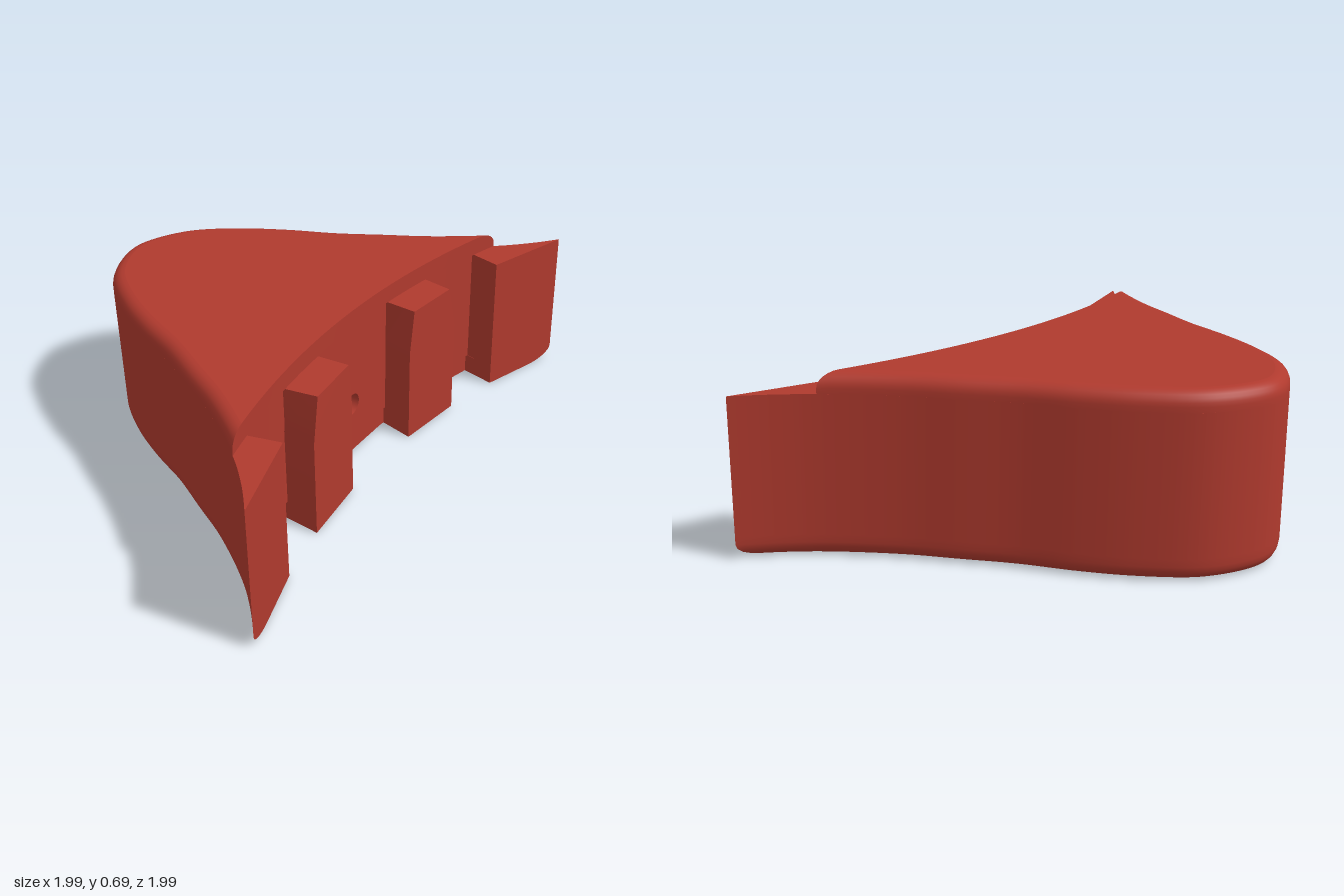
import * as THREE from 'three';
import { toCreasedNormals } from 'three/addons/utils/BufferGeometryUtils.js';

const TOP = 0.685, LEDGE = 0.61, STEP = 0.085, POCKET = 0.5, FILLET = 0.055;

// Plan coordinates: s runs from the hollow front to the round corner, t runs sideways.
const plan = (s, t) => new THREE.Vector2((-s + t) * Math.SQRT1_2, (-s - t) * Math.SQRT1_2);
const frontArc = (t) => 0.12 - 0.15 * t * t;
const tipFace = (t) => (t > 0.792 ? -0.113 - 0.32 * (t - 0.792) : frontArc(t));

// Outer curve from the round corner to one tip, mirrored for the other side
const half = [[1.235, 0.125], [1.145, 0.269], [0.969, 0.403], [0.785, 0.502], [0.587, 0.587],
  [0.403, 0.686], [0.219, 0.785], [-0.014, 0.947], [-0.14, 1.062], [-0.233, 1.167], [-0.289, 1.239]];
const outerCurve = new THREE.CatmullRomCurve3([
  ...half.map(([s, t]) => new THREE.Vector3(s, -t, 0)).reverse(),
  new THREE.Vector3(1.265, 0, 0),
  ...half.map(([s, t]) => new THREE.Vector3(s, t, 0))]);

// Outer curve inset by d, ended where it meets the front line
function outerPoints(d, front, n = 48) {
  const at = (u) => {
    const p = outerCurve.getPoint(u), q = outerCurve.getTangent(u);
    return [p.x - q.y * d, p.y + q.x * d];
  };
  let lo = 0.5, hi = 1;
  for (let i = 0; i < 40; i++) {
    const mid = (lo + hi) / 2, [s, t] = at(mid);
    if (s > front(t)) lo = mid; else hi = mid;
  }
  const right = [];
  for (let i = 0; i <= n; i++) right.push(at(0.5 + (lo - 0.5) * i / n));
  return [...right.slice(1).reverse().map(([s, t]) => [s, -t]), ...right];
}

// Walls through a stack of { y, ring } layers
function loft(layers, skip = () => false) {
  const pos = [], idx = [], n = layers[0].ring.length;
  for (const { y, ring } of layers) {
    for (const [s, t] of ring) {
      const p = plan(s, t);
      pos.push(p.x, y, p.y);
    }
  }
  for (let l = 0; l < layers.length - 1; l++) {
    for (let i = 0; i < n; i++) {
      if (skip(l, i)) continue;
      const a = l * n + i, b = l * n + (i + 1) % n;
      idx.push(a, b, a + n, b, b + n, a + n);
    }
  }
  const g = new THREE.BufferGeometry();
  g.setAttribute('position', new THREE.Float32BufferAttribute(pos, 3));
  g.setIndex(idx);
  return toCreasedNormals(g, 0.5);
}

// Flat face at height y, facing up or down, with optional holes
function plate(ring, y, up, holes = []) {
  const flat = (r) => r.map(([s, t]) => {
    const p = plan(s, t);
    return up ? new THREE.Vector2(p.x, -p.y) : p;
  });
  const shape = new THREE.Shape(flat(ring));
  shape.holes = holes.map((h) => new THREE.Path(flat(h)));
  return new THREE.ShapeGeometry(shape).rotateX(up ? -Math.PI / 2 : Math.PI / 2).translate(0, y, 0);
}

const mirror = (ring) => ring.map(([s, t]) => [s, -t]).reverse();
const circle = (s, r, n = 28) => Array.from({ length: n }, (_, i) => {
  const a = i / n * Math.PI * 2;
  return [s + r * Math.cos(a), r * Math.sin(a)];
});
// Curved slot just behind the front wall
function slot(t0, t1) {
  const ts = [0, 0.25, 0.5, 0.75, 1].map((k) => t0 + (t1 - t0) * k);
  return [...ts.map((t) => [frontArc(t) + 0.05, t]),
    ...ts.reverse().map((t) => [frontArc(t) + 0.13, t])];
}

export function createModel() {
  const model = new THREE.Group();
  const red = new THREE.MeshStandardMaterial({ color: 0xb03a2e, side: THREE.DoubleSide });
  red.name = 'brick red';
  const add = (name, geometry, parent = model) => {
    const mesh = new THREE.Mesh(geometry, red);
    mesh.name = name;
    parent.add(mesh);
    return mesh;
  };

  // Body with solid tips, a rounded lower edge and a shallow step along the front foot
  const wallTs = [0.827, 0.7, 0.55, 0.4, 0.23, -0.23, -0.4, -0.55, -0.7, -0.827];
  const bodyRing = (d, setback) => [...outerPoints(d, tipFace), [-0.113, 0.792],
    ...wallTs.map((t) => [frontArc(t) + setback, t]), [-0.113, -0.792]];
  const layers = [];
  for (let i = 0; i <= 5; i++) {
    const a = i / 5 * Math.PI / 2;
    layers.push({ y: FILLET * (1 - Math.cos(a)), ring: bodyRing(FILLET * (1 - Math.sin(a)), 0.02) });
  }
  layers.push({ y: STEP, ring: bodyRing(0, 0.02) }, { y: STEP, ring: bodyRing(0, 0.01) },
    { y: LEDGE, ring: bodyRing(0, 0.01) });
  const panelSide = 97 + 1 + 4;
  add('bodyWall', loft(layers, (l, i) => l === layers.length - 2 && i === panelSide));
  add('bodyLedge', plate(bodyRing(0, 0.01), LEDGE, true));

  // Centre front panel with its pin hole
  const panel = new THREE.Shape([[-0.23, STEP], [0.23, STEP], [0.23, LEDGE], [-0.23, LEDGE]]
    .map(([x, y]) => new THREE.Vector2(x, y)));
  const pin = new THREE.Path();
  pin.absarc(0, 0.24, 0.048, 0, Math.PI * 2, true);
  panel.holes.push(pin);
  const panelAt = plan(frontArc(0.23) + 0.01, 0);
  const frontPanel = new THREE.Group();
  frontPanel.name = 'frontPanel';
  frontPanel.position.set(panelAt.x, 0, panelAt.y);
  frontPanel.rotation.y = Math.PI / 4;
  model.add(frontPanel);
  add('panelFace', new THREE.ShapeGeometry(panel, 24), frontPanel);
  add('pinHole', new THREE.CylinderGeometry(0.048, 0.048, 0.06, 24, 1, true)
    .rotateX(Math.PI / 2).translate(0, 0.24, -0.03), frontPanel);

  // Overhanging cap with a rounded outer top edge
  const capRing = (d) => {
    const outer = outerPoints(d, frontArc), end = outer[outer.length - 1][1];
    const arc = [];
    for (let k = 11; k >= -11; k--) arc.push([frontArc(end * k / 12), end * k / 12]);
    return [...outer, ...arc];
  };
  const capLayers = [{ y: LEDGE, ring: capRing(0) }];
  for (let i = 0; i <= 6; i++) {
    const a = i / 6 * Math.PI / 2;
    capLayers.push({ y: TOP - FILLET * (1 - Math.sin(a)), ring: capRing(FILLET * (1 - Math.cos(a))) });
  }
  add('capEdge', loft(capLayers));
  add('capTop', plate(capRing(FILLET), TOP, true));
  add('capUnderside', plate(capRing(0), LEDGE, false));

  // Two locating blocks on the front, narrower towards the top
  const foot = [[0.11, 0.515], [-0.057, 0.53], [-0.021, 0.219], [0.13, 0.255]];
  const head = [[0.11, 0.515], [-0.05, 0.488], [-0.025, 0.244], [0.13, 0.255]];
  for (const side of ['left', 'right']) {
    const f = side === 'left' ? foot : mirror(foot), h = side === 'left' ? head : mirror(head);
    const block = new THREE.Group();
    block.name = side + 'Block';
    model.add(block);
    add('blockSides', loft([{ y: 0, ring: f }, { y: 0.42, ring: f }, { y: LEDGE, ring: h }]), block);
    add('blockTop', plate(h, LEDGE, true), block);
    add('blockBottom', plate(f, 0, false), block);
  }

  // Ribbed underside: pockets around a central hub
  const sidePockets = [
    slot(0.3, 0.72),
    [[0.27, 0.34], [0.27, 0.65], [0.47, 0.55], [0.47, 0.34]],
    [[0.54, 0.27], [0.54, 0.52], [0.73, 0.45], [0.73, 0.27]],
    [[0.81, 0.22], [0.8, 0.41], [1.0, 0.29], [0.94, 0.14]],
  ];
  const pockets = [
    slot(-0.24, 0.24),
    [[0.29, -0.27], [0.29, 0.27], [0.43, 0.27], [0.48, 0.12], [0.48, -0.12], [0.43, -0.27]],
    circle(0.69, 0.07), circle(1.06, 0.06),
    ...sidePockets, ...sidePockets.map(mirror),
  ];
  add('underside', plate(bodyRing(FILLET, 0.02), 0, false, pockets));
  for (const p of pockets) {
    add('pocketWall', loft([{ y: 0, ring: p }, { y: POCKET, ring: p }]));
    add('pocketCeiling', plate(p, POCKET, false));
  }
  return model;
}
